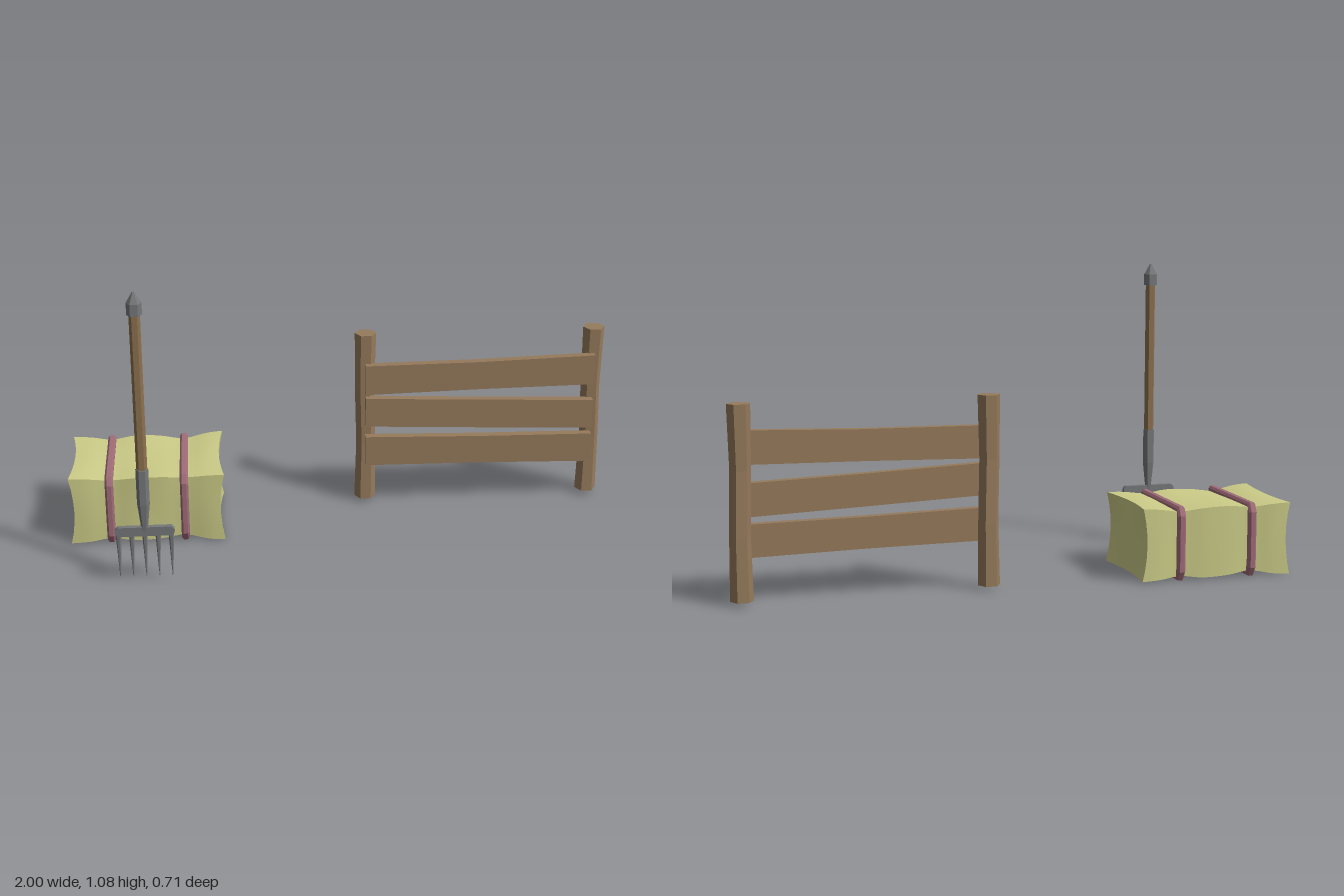
import * as THREE from 'three';

const mat = (color, flatShading = true) => new THREE.MeshStandardMaterial({ color, flatShading });
const straw = mat(0xcccc88, false);
const strapRed = mat(0xa06c78);
const wood = mat(0x967b5c);
const handleWood = mat(0x8c7150);
const iron = mat(0x77787a);

function add(parent, name, geometry, material) {
  const mesh = new THREE.Mesh(geometry, material);
  mesh.name = name;
  parent.add(mesh);
  return mesh;
}

// Six-sided tapered rod between two heights, with corners on the x axis
function rod(rTop, rBottom, y0, y1, segments = 1) {
  return new THREE.CylinderGeometry(rTop, rBottom, y1 - y0, 6, segments)
    .rotateY(Math.PI / 6)
    .translate(0, (y0 + y1) / 2, 0);
}

// Straw block, pinched under the straps and hollowed at the ends
function baleGeometry(strapXs) {
  const hx = 0.28, hy = 0.13, hz = 0.19;
  const g = new THREE.BoxGeometry(2 * hx, 2 * hy, 2 * hz, 24, 6, 8);
  const p = g.attributes.position;
  for (let i = 0; i < p.count; i++) {
    const x = p.getX(i), y = p.getY(i), z = p.getZ(i);
    const u = x / hx, v = y / hy, w = z / hz;
    let pinch = 0.004 * (1 - u * u);
    for (const s of strapXs) pinch += 0.011 * Math.exp(-(((x - s) / 0.06) ** 2));
    const hollow = 0.016 * (1 - v * v * w * w) * Math.abs(u) ** 5;
    const ripple = 0.002 * Math.sin(17 * x + 9 * z + 11 * y);
    p.setXYZ(i, x - Math.sign(u) * hollow, y - v * (pinch + ripple), z - w * (pinch + ripple));
  }
  g.computeVertexNormals();
  return g;
}

// Rectangle with cut corners, as a shape or a hole
function cutRect(path, hw, hh, cw, ch) {
  const pts = [
    [hw, -hh + ch], [hw, hh - ch], [hw - cw, hh], [-hw + cw, hh],
    [-hw, hh - ch], [-hw, -hh + ch], [-hw + cw, -hh], [hw - cw, -hh],
  ];
  return path.setFromPoints(pts.map(([a, b]) => new THREE.Vector2(a, b)));
}

function strapGeometry() {
  const shape = cutRect(new THREE.Shape(), 0.189, 0.125, 0.014, 0.026);
  shape.holes.push(cutRect(new THREE.Path(), 0.178, 0.115, 0.014, 0.022));
  const g = new THREE.ExtrudeGeometry(shape, {
    depth: 0.016, bevelEnabled: true, bevelSegments: 1, bevelSize: 0.008, bevelThickness: 0.007,
  });
  return g.translate(0, 0, -0.008).rotateY(-Math.PI / 2);
}

function makeBale() {
  const bale = new THREE.Group();
  bale.name = 'strawBale';
  bale.position.set(-0.715, 0.133, -0.159);
  const strapXs = [-0.135, 0.135];
  add(bale, 'straw', baleGeometry(strapXs), straw);
  for (const x of strapXs) add(bale, 'strap', strapGeometry(), strapRed).position.x = x;
  return bale;
}

function makeFork() {
  const fork = new THREE.Group();
  fork.name = 'gardenFork';
  fork.position.set(-0.715, 0, 0.335);
  add(fork, 'handle', rod(0.019, 0.019, 0.43, 1.01), handleWood);
  // Pommel
  add(fork, 'pommelBase', rod(0.026, 0.026, 1.0, 1.042), iron);
  add(fork, 'pommelTip', rod(0.004, 0.026, 1.042, 1.08), iron);
  // Socket
  add(fork, 'socket', rod(0.022, 0.022, 0.31, 0.44), iron);
  add(fork, 'socketNeck', rod(0.022, 0.01, 0.2, 0.31), iron);
  // Crossbar and tines
  const bar = new THREE.ExtrudeGeometry(cutRect(new THREE.Shape(), 0.103, 0.017, 0.01, 0.01), {
    depth: 0.018, bevelEnabled: false,
  });
  add(fork, 'crossbar', bar.translate(0, 0.204, -0.009), iron);
  for (let i = -2; i <= 2; i++) {
    add(fork, 'tine', rod(0.01, 0.0015, 0.028, 0.2), iron).position.x = i * 0.0455;
  }
  return fork;
}

// Hexagonal post with a slightly narrowed, wandering trunk
function postGeometry() {
  const g = rod(1, 1, 0.015, 0.68, 3);
  const p = g.attributes.position;
  const rings = [[0.04, 0], [0.036, 0.003], [0.036, -0.003], [0.04, 0]]; // radius, shift
  for (let i = 0; i < p.count; i++) {
    const k = Math.round(((p.getY(i) - 0.015) / 0.665) * 3);
    const [r, shift] = rings[k];
    p.setX(i, p.getX(i) * r + shift);
    p.setZ(i, p.getZ(i) * r - shift);
  }
  return g;
}

function makeFence() {
  const fence = new THREE.Group();
  fence.name = 'fence';
  for (const x of [0.104, 0.96]) {
    const post = add(fence, 'post', postGeometry(), wood);
    post.position.set(x, 0, -0.268);
  }
  // Planks: top and bottom heights at the right end, middle and left end
  const planks = [
    [[0.569, 0.454], [0.573, 0.464], [0.586, 0.470]],
    [[0.439, 0.326], [0.421, 0.308], [0.406, 0.291]],
    [[0.282, 0.166], [0.272, 0.162], [0.267, 0.153]],
  ];
  const xs = [0.101, 0.53, 0.96];
  for (const ends of planks) {
    const top = ends.map(([t], i) => new THREE.Vector2(xs[i], t));
    const bottom = ends.map(([, b], i) => new THREE.Vector2(xs[i], b));
    const shape = new THREE.Shape([...bottom, ...top.reverse()]);
    const g = new THREE.ExtrudeGeometry(shape, { depth: 0.031, bevelEnabled: false });
    add(fence, 'plank', g.translate(0, 0, -0.241), wood);
  }
  return fence;
}

export function createModel() {
  const model = new THREE.Group();
  model.name = 'farmSet';
  model.add(makeBale(), makeFork(), makeFence());
  return model;
}
